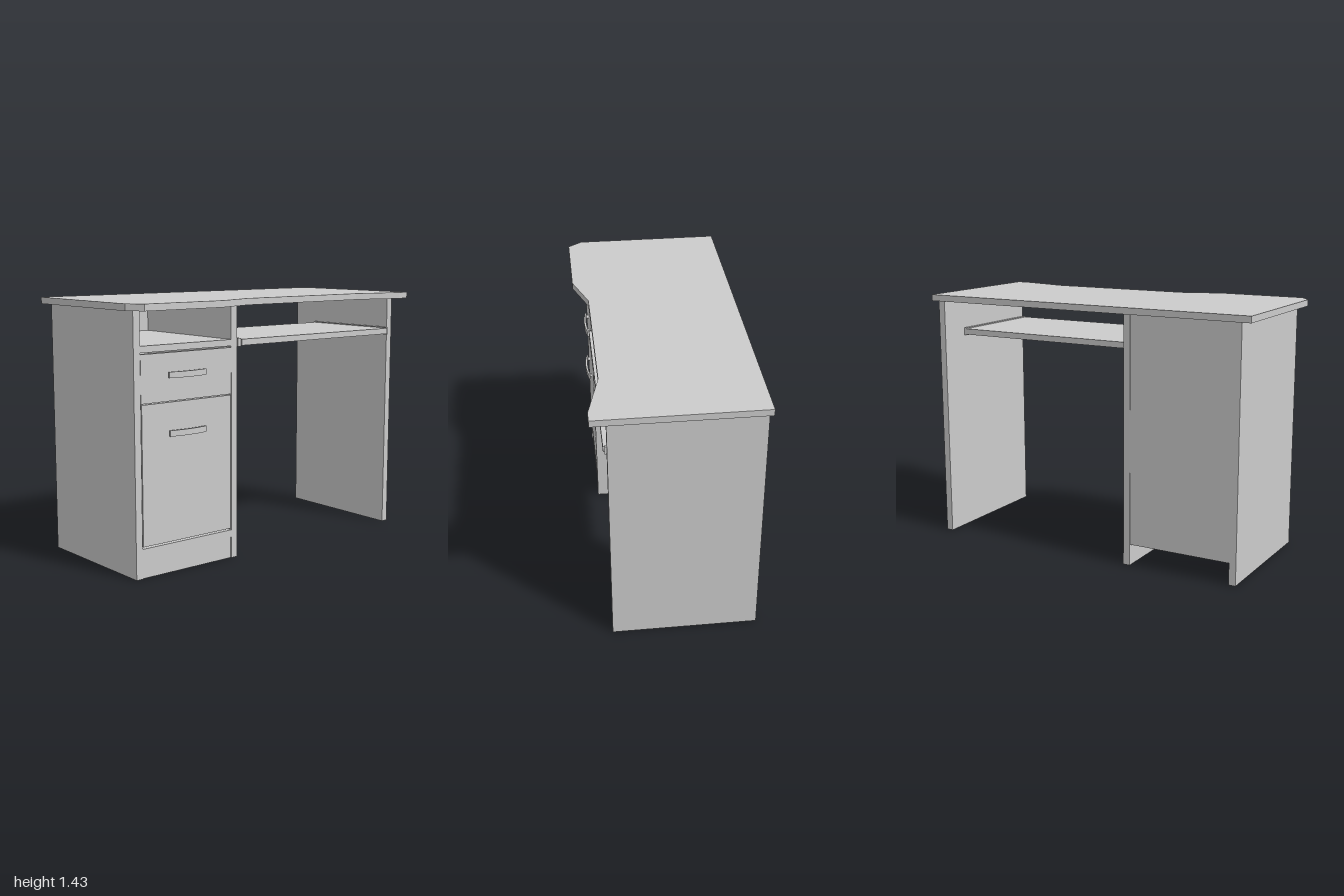
import * as THREE from 'three';

const grey = new THREE.MeshStandardMaterial({ color: 0xcccccc });

// Box given by its minimum and maximum on each axis
function board(name, [x0, x1], [y0, y1], [z0, z1]) {
  const mesh = new THREE.Mesh(new THREE.BoxGeometry(x1 - x0, y1 - y0, z1 - z0), grey);
  mesh.name = name;
  mesh.position.set((x0 + x1) / 2, (y0 + y1) / 2, (z0 + z1) / 2);
  return mesh;
}

// Extrudes an outline drawn in (x, z) upwards from y
function slab(name, shape, y, height, curveSegments = 12) {
  const geo = new THREE.ExtrudeGeometry(shape, { depth: height, bevelEnabled: false, curveSegments });
  geo.rotateX(-Math.PI / 2);
  const mesh = new THREE.Mesh(geo, grey);
  mesh.name = name;
  mesh.position.y = y;
  return mesh;
}

// Bowed pull handle on two short posts
function handle(name, x, y) {
  const group = new THREE.Group();
  group.name = name;
  const half = 0.12;
  const bow = new THREE.Shape();
  bow.moveTo(0.010, -half);
  bow.lineTo(0.018, -half);
  bow.quadraticCurveTo(0.046, 0, 0.018, half);
  bow.lineTo(0.010, half);
  bow.quadraticCurveTo(0.028, 0, 0.010, -half);
  group.add(slab('handleBar', bow, -0.016, 0.032));
  for (const s of [-1, 1]) {
    const post = new THREE.Mesh(new THREE.CylinderGeometry(0.011, 0.011, 0.018, 16), grey);
    post.name = 'handlePost';
    post.rotation.z = Math.PI / 2;
    post.position.set(0.007, 0, s * 0.1);
    group.add(post);
  }
  group.position.set(x, y, 0.615);
  return group;
}

export function createModel() {
  const desk = new THREE.Group();
  desk.name = 'desk';

  // Worktop with a recessed sitting edge; the shape's y is -z
  const outline = [
    [-0.453, 1], [0.37, 1], [0.45, 0.94], [0.45, 0.44], [0.37, 0.21],
    [0.37, -0.63], [0.44, -0.93], [0.44, -1], [-0.453, -1],
  ].map(([x, z]) => new THREE.Vector2(x, -z));
  desk.add(slab('worktop', new THREE.Shape(outline), 1.396, 0.036));

  // Upright panels
  const depth = [-0.44, 0.355], full = [0, 1.396], inner = [0.31, 0.905];
  desk.add(board('endPanel', depth, full, [-0.96, -0.92]));
  desk.add(board('cabinetInnerPanel', depth, full, [0.27, 0.31]));
  desk.add(board('cabinetOuterPanel', depth, full, [0.905, 0.945]));

  // Cabinet carcass
  desk.add(board('cabinetBack', [-0.436, -0.42], [0.12, 1.396], inner));
  desk.add(board('cabinetBottom', [-0.42, 0.355], [0.12, 0.16], inner));
  desk.add(board('cabinetShelf', [-0.42, 0.355], [1.18, 1.215], inner));
  desk.add(board('plinth', [0.325, 0.35], [0, 0.12], inner));

  // Drawer and door fronts
  desk.add(board('drawerFront', [0.325, 0.354], [0.919, 1.172], [0.312, 0.903]));
  desk.add(board('doorFront', [0.325, 0.356], [0.17, 0.914], [0.315, 0.9]));
  desk.add(handle('drawerHandle', 0.354, 1.057));
  desk.add(handle('doorHandle', 0.356, 0.752));

  // Sliding keyboard tray on its runners
  desk.add(board('keyboardTray', [-0.26, 0.372], [1.18, 1.214], [-0.905, 0.25]));
  desk.add(board('trayRunner', [-0.26, 0.364], [1.175, 1.22], [0.25, 0.27]));
  desk.add(board('trayRunner', [-0.26, 0.364], [1.175, 1.22], [-0.92, -0.905]));

  return desk;
}
